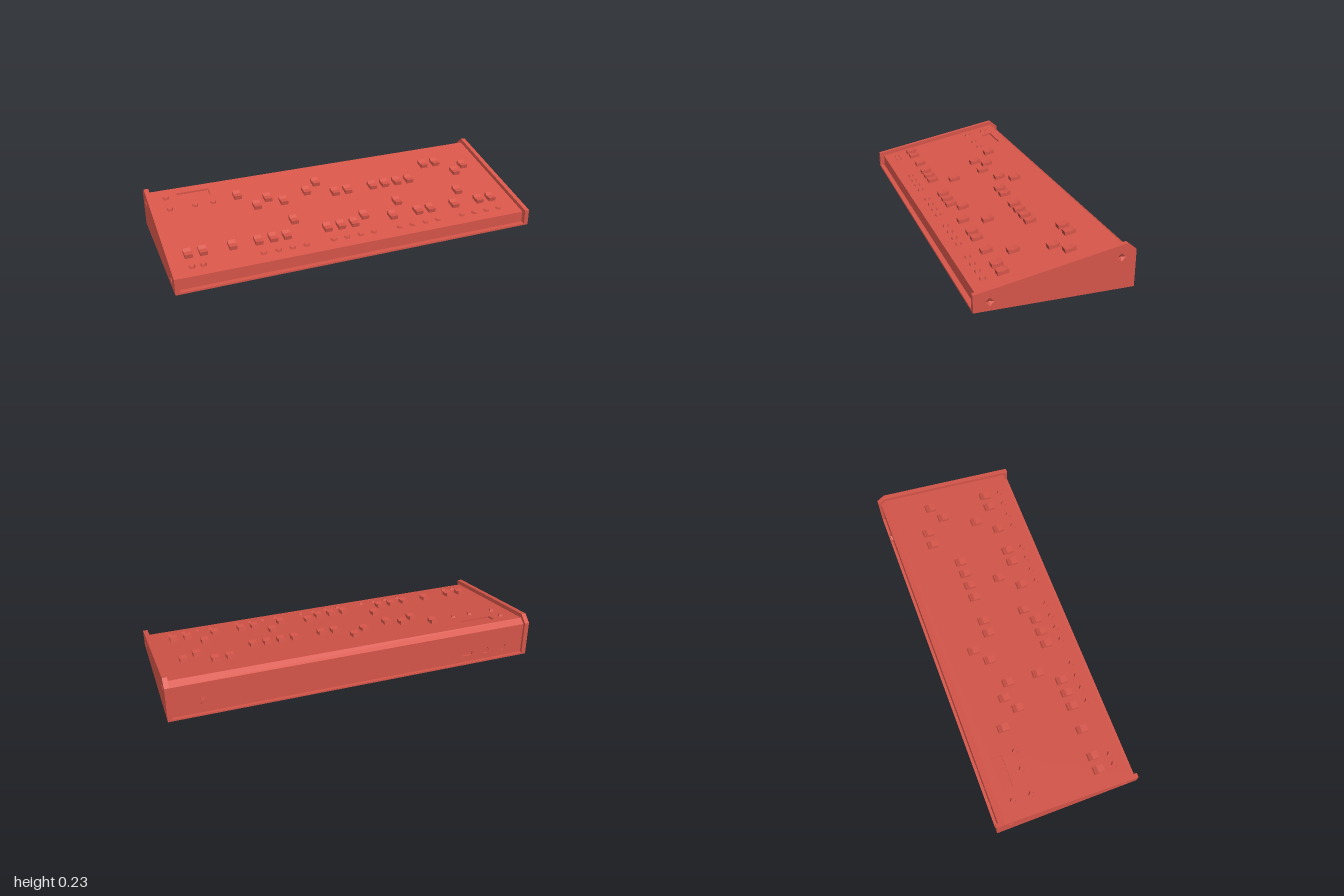
import * as THREE from 'three';

const SLOPE = 0.188;
const TILT = Math.atan(SLOPE);
const topY = z => 0.072 + (0.374 - z) * SLOPE; // height of the control panel

export function createModel() {
  const group = new THREE.Group();
  const red = new THREE.MeshStandardMaterial({ color: 0xd8564a, flatShading: true, side: THREE.DoubleSide });
  red.name = 'red';

  const add = (name, geometry, parent = group) => {
    const mesh = new THREE.Mesh(geometry, red);
    mesh.name = name;
    parent.add(mesh);
    return mesh;
  };
  const polygon = points => new THREE.Shape(points.map(p => new THREE.Vector2(...p)));
  const rect = (x, y, w, h) => polygon([[x - w / 2, y - h / 2], [x + w / 2, y - h / 2], [x + w / 2, y + h / 2], [x - w / 2, y + h / 2]]);
  const ring = (x, y, r, n) => polygon(Array.from({ length: n }, (_, i) =>
    [x + r * Math.cos(i * 2 * Math.PI / n), y + r * Math.sin(i * 2 * Math.PI / n)]));
  const extrude = (shape, depth) => new THREE.ExtrudeGeometry(shape, { depth, bevelEnabled: false });
  // Side profile given as [z, y], extruded along x and centred
  const profile = (points, width, holes = []) => {
    const shape = polygon(points.map(([z, y]) => [-z, y]));
    shape.holes.push(...holes);
    return extrude(shape, width).translate(0, 0, -width / 2).rotateY(Math.PI / 2);
  };

  // Case: base plate, core and bevelled rear edge
  add('basePlate', new THREE.BoxGeometry(1.95, 0.01, 0.8).translate(0, 0.005, 0));
  add('caseCore', profile([
    [0.374, 0.005], [0.374, 0.062], [-0.353, topY(-0.353) - 0.01], [-0.353, topY(-0.353)],
    [-0.385, 0.185], [-0.375, 0.185], [-0.375, 0.005]
  ], 1.95));

  // Sloping control panel with a display opening, sheared to the slope
  const panelShape = rect(0, -0.0105, 1.95, 0.727);
  panelShape.holes.push(rect(-0.745, 0.276, 0.18, 0.058));
  const panel = extrude(panelShape, 0.01).rotateX(-Math.PI / 2);
  const pos = panel.attributes.position;
  for (let i = 0; i < pos.count; i++) pos.setY(i, pos.getY(i) + topY(pos.getZ(i)) - 0.01);
  panel.computeVertexNormals();
  add('controlPanel', panel);

  // Rear panel with sockets
  const rear = rect(0, 0.0965, 1.95, 0.177);
  rear.holes.push(rect(-0.645, 0.06, 0.055, 0.024), ring(-0.756, 0.06, 0.02, 6), ring(-0.86, 0.06, 0.02, 6));
  add('rearPanel', extrude(rear, 0.01).translate(0, 0, -0.385));
  add('rearJack', new THREE.CylinderGeometry(0.023, 0.023, 0.012, 6).rotateX(Math.PI / 2).translate(0.807, 0.075, -0.389));

  // End cheeks with shallow four-sided screw recesses
  const screws = [[0.32, 0.045], [-0.325, 0.163]];
  for (const side of [-1, 1]) {
    const cheek = add(side > 0 ? 'leftCheek' : 'rightCheek', profile(
      [[0.4, 0], [0.4, 0.09], [-0.355, 0.232], [-0.4, 0.195], [-0.4, 0]], 0.025,
      screws.map(([z, y]) => ring(-z, y, 0.022, 4))));
    cheek.position.x = side * 0.9875;
    for (const [z, y] of screws) {
      add('screwRecess', new THREE.ConeGeometry(0.022, 0.012, 4, 1, true)
        .rotateZ(side * Math.PI / 2).translate(side * 0.0065, y, z), cheek);
    }
  }

  // Controls placed on the slope
  const place = (name, geometry, rows) => {
    for (const [z, xs] of rows) for (const x of xs) {
      const control = add(name, geometry);
      control.position.set(x, topY(z), z);
      control.rotation.x = TILT;
    }
  };

  // Scooped slider caps
  const cap = profile([[0.029, -0.003], [0.029, 0.023], [-0.006, 0.016], [-0.026, 0.024], [-0.029, 0.024], [-0.029, -0.003]], 0.04);
  place('sliderCap', cap, [
    [-0.19, [-0.52, -0.06, 0.625, 0.703]],
    [-0.125, [-0.365, -0.137, 0.857]],
    [-0.075, [-0.44, -0.288, 0.017, 0.093, 0.245, 0.322, 0.399, 0.475, 0.78]],
    [0.1, [-0.288, 0.322, 0.703]],
    [0.165, [0.093]],
    [0.21, [-0.89, -0.812, -0.658, -0.52, -0.44, -0.365, -0.137, -0.06, 0.017, 0.245, 0.399, 0.475, 0.625, 0.78, 0.857]]
  ]);

  // Small five-sided buttons
  const button = new THREE.CylinderGeometry(0.014, 0.019, 0.014, 5).rotateY(Math.PI).translate(0, 0.005, 0);
  place('button', button, [
    [0.305, [-0.89, -0.833, -0.52, -0.44, -0.365, -0.288, -0.137, -0.06, 0.017, 0.093,
      0.245, 0.322, 0.399, 0.475, 0.625, 0.703, 0.78, 0.857]],
    [-0.274, [-0.897]],
    [-0.172, [-0.897, -0.758, -0.658]]
  ]);

  return group;
}
